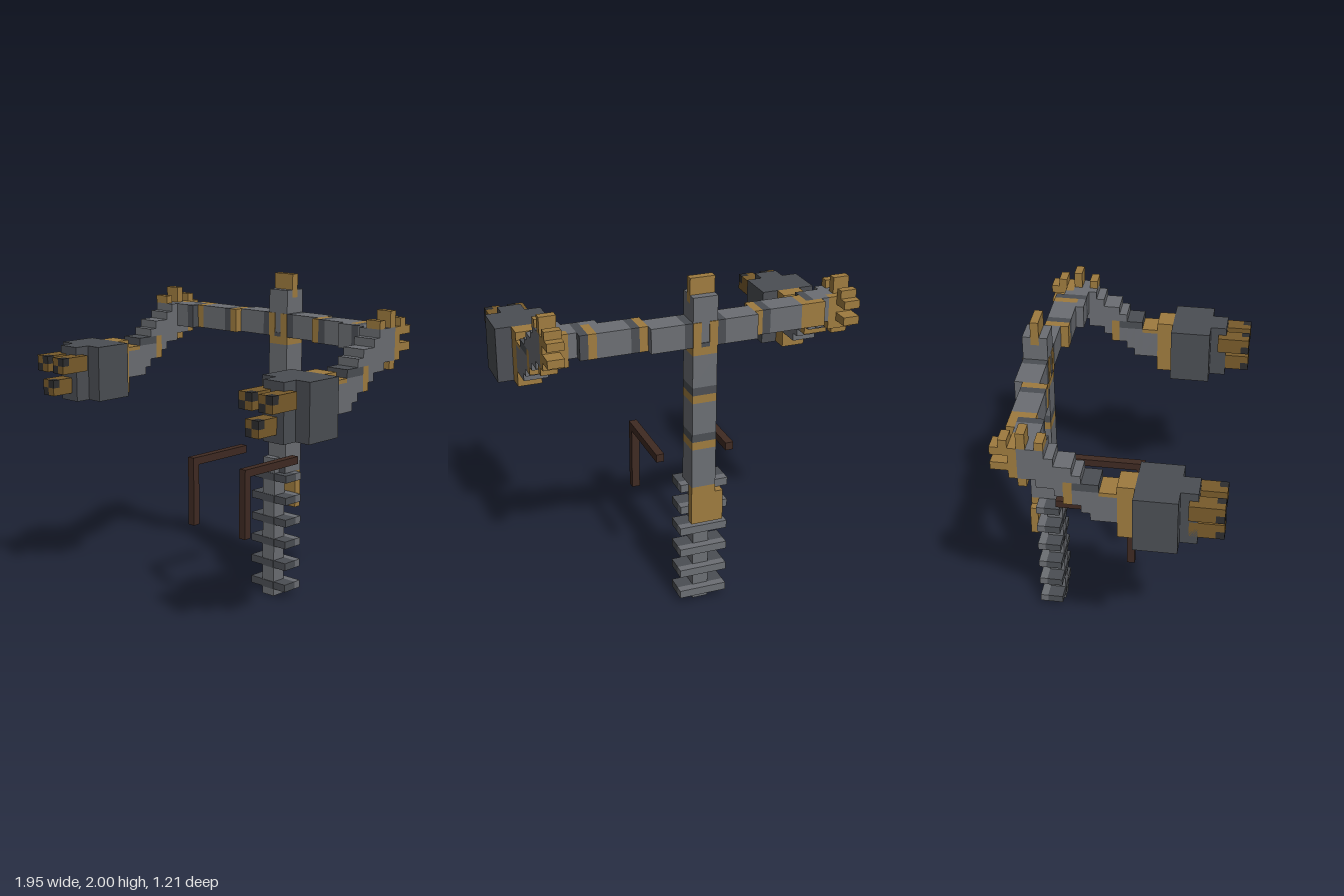
import * as THREE from 'three';

const U = 2 / 43; // size of one block unit

const mat = (name, color) => {
  const m = new THREE.MeshStandardMaterial({ color });
  m.name = name;
  return m;
};

export function createModel() {
  const gray = mat('steel gray', 0x6b6e73);
  const dark = mat('dark steel', 0x4b4e53);
  const gold = mat('brass', 0x9e7b3f);
  const bronze = mat('dark bronze', 0x785b2b);
  const black = mat('soot black', 0x2d2d2e);
  const brown = mat('dark brown', 0x3f2a22);

  const model = new THREE.Group();
  // Box given by its limits in block units
  const box = (parent, name, m, x0, x1, y0, y1, z0, z1) => {
    const mesh = new THREE.Mesh(
      new THREE.BoxGeometry((x1 - x0) * U, (y1 - y0) * U, (z1 - z0) * U), m);
    mesh.position.set((x0 + x1) / 2 * U, (y0 + y1) / 2 * U, (z0 + z1) / 2 * U);
    mesh.name = name;
    parent.add(mesh);
    return mesh;
  };
  const group = (name) => {
    const g = new THREE.Group();
    g.name = name;
    model.add(g);
    return g;
  };

  // Banded main post
  const post = group('post');
  [[17, 22, gray], [22, 23, gold], [23, 24, dark], [24, 28, gray], [28, 29, gold],
    [29, 30, dark], [30, 34, gray], [34, 35, gold], [35, 40, gray]]
    .forEach(([y0, y1, m]) => box(post, 'postSection', m, -1, 2, y0, y1, -13, -10));
  box(post, 'postTopBack', gray, -1, 2, 40, 41, -13, -12);
  box(post, 'postTopFront', gray, -1, 2, 40, 41, -11, -10);
  box(post, 'postCap', gold, -1, 2, 40, 43, -12, -11);
  // Collar trim on the front and back of the post
  for (const [z0, z1] of [[-10, -9.9], [-13.1, -13]]) {
    box(post, 'collarTrim', gold, -1, 0, 35, 38, z0, z1);
    box(post, 'collarTrim', gold, 1, 2, 35, 38, z0, z1);
    box(post, 'collarSlot', dark, 0, 1, 35, 35.5, z0, z1);
  }
  box(post, 'postFootMark', dark, 1, 2, 17, 18, -10, -9.9);
  box(post, 'footPlate', gold, -1, 2, 12, 17, -13, -12);
  box(post, 'footPlateSide', gold, -2, -1, 12, 16, -13, -12);

  // Lower spine with six fins
  const spine = group('spine');
  box(spine, 'spineCore', gray, -1, 1, 0, 17, -11, -9);
  box(spine, 'spineTop', gray, -1, 1, 17, 19, -10, -9);
  for (let y = 1; y <= 16; y += 3) {
    for (const [x0, x1] of [[-3, -1], [1, 3]]) {
      box(spine, 'fin', dark, x0, x1, y, y + 1, -11, -9);
    }
    box(spine, 'finFront', dark, -1, 1, y, y + 1, -9, -8.9);
    box(spine, 'finBack', gray, -3, 3, y, y + 1, -12, -11);
  }

  // Bent side rods
  for (const x of [-5, 4]) {
    const rod = group('sideRod');
    box(rod, 'rodBar', brown, x, x + 1, 19, 20, -9, 1);
    box(rod, 'rodDrop', brown, x, x + 1, 11, 19, 0, 1);
  }

  // Crossbar, centre section then stepped outer sections
  const bar = group('crossbar');
  [[-6, -2, gray], [-2, -1, dark], [2, 3, dark], [3, 7, gray]]
    .forEach(([a, b, m]) => box(bar, 'barCentre', m, a, b, 35, 38, -13, -10));
  [[-13, -12, gold], [-12, -8, gray], [-8, -7, dark], [-7, -6, gold],
    [7, 8, gold], [8, 9, dark], [9, 13, gray], [13, 14, gold], [14, 15, dark]]
    .forEach(([a, b, m]) => box(bar, 'barMiddle', m, a, b, 35, 38, -12, -9));
  [[-15, -14, gray], [-14, -13, dark]]
    .forEach(([a, b, m]) => box(bar, 'barMiddle', m, a, b, 35, 38, -11, -9));
  box(bar, 'barBackPlate', gold, -15, -13, 35, 38, -12, -11);
  [[-16, -15, gray, -11], [-15, -14, gray, -9], [-14, -13, dark, -9],
    [12, 14, gray, -9], [14, 15, dark, -9], [15, 16, gray, -11]]
    .forEach(([a, b, m, z]) => box(bar, 'barOuter', m, a, b, 35, 38, z, -8));

  // Forearm and cannon on each side
  for (const s of [-1, 1]) {
    const arm = group(s > 0 ? 'leftForearm' : 'rightForearm');
    const side = (name, m, a, b, ...r) =>
      s > 0 ? box(arm, name, m, a, b, ...r) : box(arm, name, m, -b, -a, ...r);

    // Elbow with brass spikes
    side('elbow', gray, 16, 19, 34, 38, -10, -8);
    side('elbowBack', gold, 16, 19, 34, 38, -11, -10);
    [[38, 40, -10, -9], [38, 39, -8, -7], [38, 39, -12, -11], [37, 38, -13, -11],
      [35, 36, -13, -11], [33, 34, -10, -9]]
      .forEach((r) => side('elbowSpike', gold, 17, 19, ...r));

    // Stepped forearm: back, front, bottom, top, material
    [[-8, -7, 33, 38, gray], [-7, -6, 33, 37, gray], [-6, -5, 32, 36, gray],
      [-5, -4, 31, 34, gold], [-5, -4, 34, 36, gray], [-4, -3, 31, 33, gray],
      [-4, -3, 33, 34, dark], [-4, -3, 34, 35, gray], [-3, -2, 30, 33, gray],
      [-2, -1, 29, 33, gray], [-3, -1, 33, 34, dark], [-1, 1, 29, 32.5, gray],
      [-1, 1, 32.5, 33, gold]]
      .forEach(([z0, z1, y0, y1, m]) => side('forearmStep', m, 16, 19, y0, y1, z0, z1));

    // Cannon housing
    side('housingBack', gold, 16, 19, 27, 34, 1, 3);
    side('housing', dark, 14, 21, 27, 34, 3, 8);
    side('housingFront', dark, 16, 19, 27, 34, 8, 10);

    // Three barrels with a dark checker at the muzzle
    for (const [dx, y] of [[0, 31], [3, 31], [1, 28]]) {
      const x = (s > 0 ? 15 : -20) + dx;
      box(arm, 'barrel', bronze, x, x + 2, y, y + 2, 9, 12);
      for (const i of [0, 1]) for (const j of [0, 1]) {
        box(arm, 'muzzle', i === j ? black : bronze, x + i, x + i + 1, y + j, y + j + 1, 12, 13);
      }
    }
  }
  return model;
}
